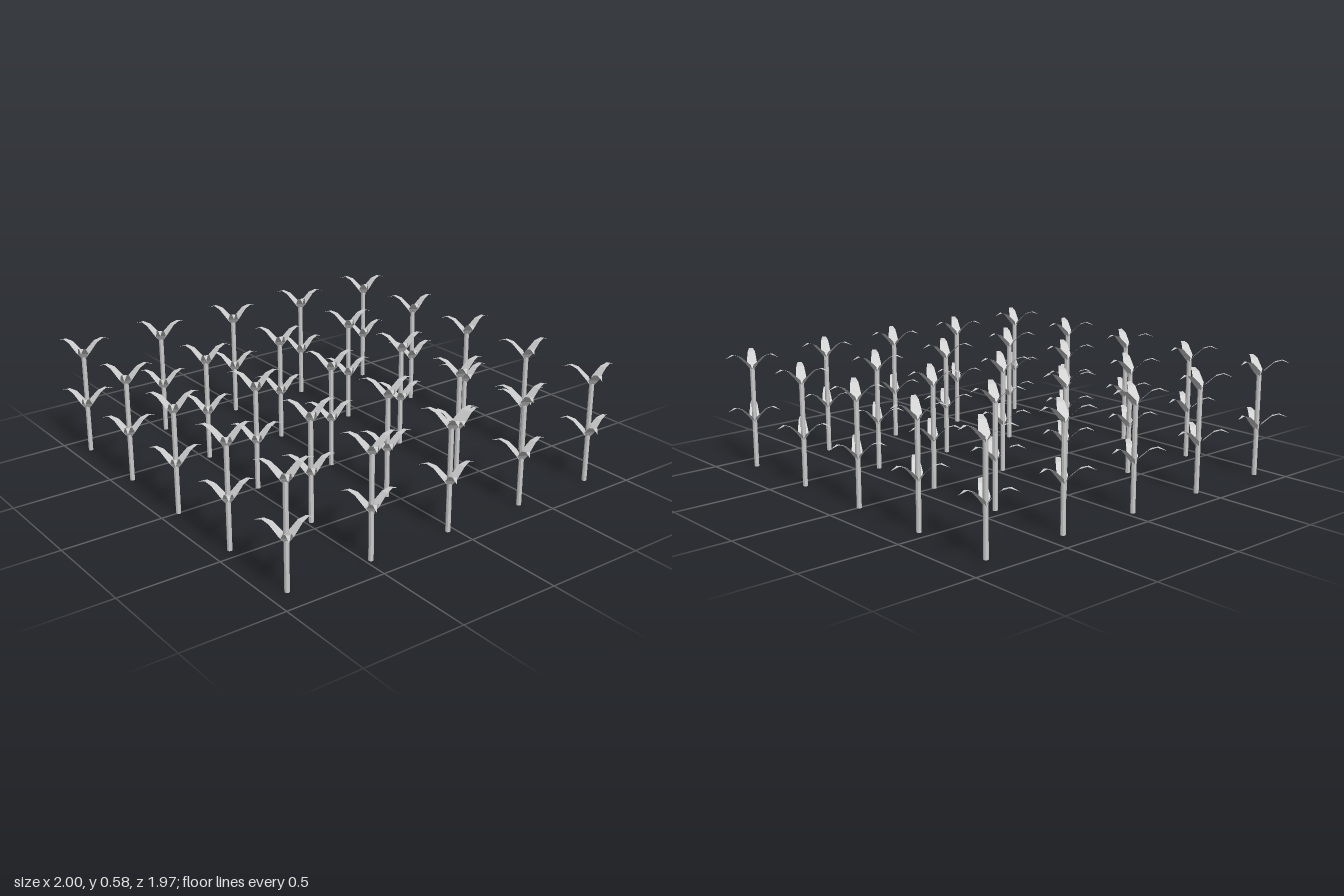
import * as THREE from 'three';

const stemMaterial = new THREE.MeshStandardMaterial({ color: 0xcccccc, flatShading: true });
const leafMaterial = new THREE.MeshStandardMaterial({ color: 0xcccccc, flatShading: true, side: THREE.DoubleSide });

// Leaf stations: [distance from stem, height, width]
const LEAF = [
  [0.004, 0, 0.018],
  [0.022, 0.032, 0.05],
  [0.07, 0.077, 0.036],
  [0.105, 0.089, 0.02],
  [0.144, 0.076, 0.001],
];

// Thin arched strip, flat across its width, growing along +z
function leafGeometry() {
  const positions = [];
  const index = [];
  LEAF.forEach(([r, y, w], i) => {
    positions.push(-w / 2, y, r, w / 2, y, r);
    if (i > 0) {
      const a = 2 * (i - 1);
      index.push(a, a + 1, a + 3, a, a + 3, a + 2);
    }
  });
  const geometry = new THREE.BufferGeometry();
  geometry.setAttribute('position', new THREE.Float32BufferAttribute(positions, 3));
  geometry.setIndex(index);
  geometry.computeVertexNormals();
  return geometry;
}

export function createModel() {
  const field = new THREE.Group();
  field.name = 'cropField';

  const stemHeight = 0.505;
  const stemGeometry = new THREE.CylinderGeometry(0.012, 0.012, stemHeight, 8);
  stemGeometry.translate(0, stemHeight / 2, 0);
  const leaf = leafGeometry();

  const spacing = 0.4375;
  for (let row = -2; row <= 2; row++) {
    for (let column = -2; column <= 2; column++) {
      const plant = new THREE.Group();
      plant.name = 'plant';
      plant.position.set(column * spacing, 0, row * spacing + 0.036);

      const stem = new THREE.Mesh(stemGeometry, stemMaterial);
      stem.name = 'stem';
      plant.add(stem);

      // Two whorls of three leaves: one to the back, two to the front sides
      for (const [name, height] of [['lowerLeaf', 0.228], ['upperLeaf', 0.494]]) {
        for (let i = 0; i < 3; i++) {
          const blade = new THREE.Mesh(leaf, leafMaterial);
          blade.name = name;
          blade.position.y = height;
          blade.rotation.y = Math.PI + (i * Math.PI * 2) / 3;
          plant.add(blade);
        }
      }
      field.add(plant);
    }
  }
  return field;
}
